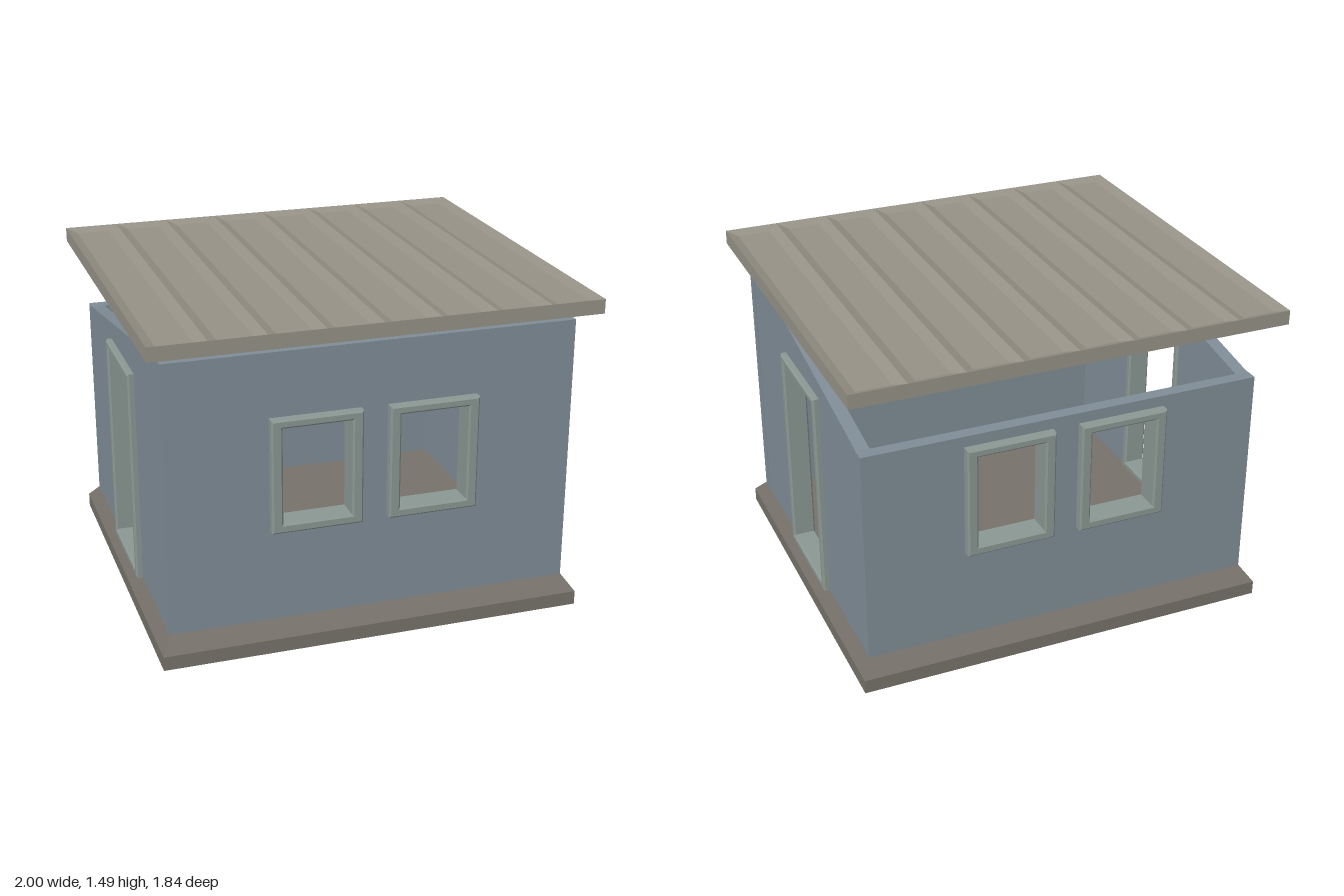
import * as THREE from 'three';

const mat = (color) => new THREE.MeshStandardMaterial({ color, flatShading: true });

// Closed solid from stacked rectangles [halfX, halfZ, y], listed bottom to top
function stack(sections) {
  const rings = sections.map(([x, z, y]) => [[-x, y, z], [x, y, z], [x, y, -z], [-x, y, -z]]);
  const pos = [];
  const quad = (a, b, c, d) => pos.push(...a, ...b, ...c, ...a, ...c, ...d);
  const [b, t] = [rings[0], rings[rings.length - 1]];
  quad(b[3], b[2], b[1], b[0]);
  for (let i = 0; i < rings.length - 1; i++) {
    for (let k = 0; k < 4; k++) {
      const n = (k + 1) % 4;
      quad(rings[i][k], rings[i][n], rings[i + 1][n], rings[i + 1][k]);
    }
  }
  quad(...t);
  const geo = new THREE.BufferGeometry();
  geo.setAttribute('position', new THREE.Float32BufferAttribute(pos, 3));
  geo.computeVertexNormals();
  return geo;
}

const points = (list) => list.map(([x, y]) => new THREE.Vector2(x, y));
const rect = (x0, y0, x1, y1) => points([[x0, y0], [x1, y0], [x1, y1], [x0, y1]]);

// Flat slab with rectangular openings, extruded along +z
function slab(outline, holes, depth) {
  const shape = new THREE.Shape(outline);
  for (const h of holes) shape.holes.push(new THREE.Path(rect(...h)));
  return new THREE.ExtrudeGeometry(shape, { depth, bevelEnabled: false });
}

// Rectangular frame with a slightly chamfered edge, from z0 to z1
function frame([x0, y0, x1, y1], [u0, v0, u1, v1], z0, z1) {
  const c = 0.008;
  const shape = new THREE.Shape(rect(x0 + c, y0 + c, x1 - c, y1 - c));
  shape.holes.push(new THREE.Path(rect(u0 - c, v0 - c, u1 + c, v1 + c)));
  return new THREE.ExtrudeGeometry(shape, {
    depth: z1 - z0 - 2 * c, bevelEnabled: true, bevelSize: c, bevelThickness: c, bevelSegments: 1,
  }).translate(0, 0, z0 + c);
}

export function createModel() {
  const group = new THREE.Group();
  const wallMat = mat(0x7f8c96);
  const frameMat = mat(0x8a9792);
  const roofMat = mat(0x959186);
  const baseMat = mat(0x76726a);
  const add = (name, geo, material) => {
    const mesh = new THREE.Mesh(geo, material);
    mesh.name = name;
    group.add(mesh);
    return mesh;
  };

  // Foundation with sloped upper edge
  add('foundation', stack([[0.97, 0.875, 0], [0.97, 0.875, 0.065], [0.925, 0.81, 0.13]]), baseMat);

  // Front and back walls with two windows each
  const T = 0.06, W = 0.925, Y0 = 0.13;
  for (const [side, height, turn] of [['front', 1.37, 0], ['back', 1.13, Math.PI]]) {
    const holes = [-1, 1].map((s) => [s * 0.265 - 0.165, 0.585, s * 0.265 + 0.165, 1.05]);
    const wall = slab(rect(-W, Y0, W, height), holes, T).translate(0, 0, 0.745);
    add(side + 'Wall', wall.rotateY(turn), wallMat);
    for (const s of [-1, 1]) {
      const x = s * 0.265;
      const geo = frame([x - 0.205, 0.557, x + 0.205, 1.08], [x - 0.155, 0.6, x + 0.155, 1.04], 0.725, 0.847);
      add(side + 'WindowFrame', geo.rotateY(turn), frameMat);
    }
  }

  // Sloped side walls, each with a doorway
  for (const [side, s] of [['left', 1], ['right', -1]]) {
    // Local x runs along -s*z once the slab is turned to face outward
    const zf = -s * 0.745, zb = s * 0.745;
    const outline = points([[zf, Y0], [zb, Y0], [zb, 1.13], [zf, 1.37]]);
    const wall = slab(outline, [[-0.225, 0.15, 0.225, 1.11]], T);
    add(side + 'Wall', wall.translate(0, 0, W - T - 0.003).rotateY(s * Math.PI / 2), wallMat);
    const door = frame([-0.25, Y0, 0.25, 1.13], [-0.213, 0.165, 0.213, 1.098], 0.845, 0.952);
    add(side + 'DoorFrame', door.rotateY(s * Math.PI / 2), frameMat);
  }

  // Raised flat roof made of eight shallow dished panels
  const roof = new THREE.Group();
  roof.name = 'roof';
  const panel = stack([[0.125, 0.92, 1.425], [0.125, 0.92, 1.49], [0.077, 0.872, 1.472]]);
  for (let i = 0; i < 8; i++) {
    const mesh = new THREE.Mesh(panel, roofMat);
    mesh.name = 'roofPanel';
    mesh.position.x = -0.875 + i * 0.25;
    roof.add(mesh);
  }
  group.add(roof);
  return group;
}
